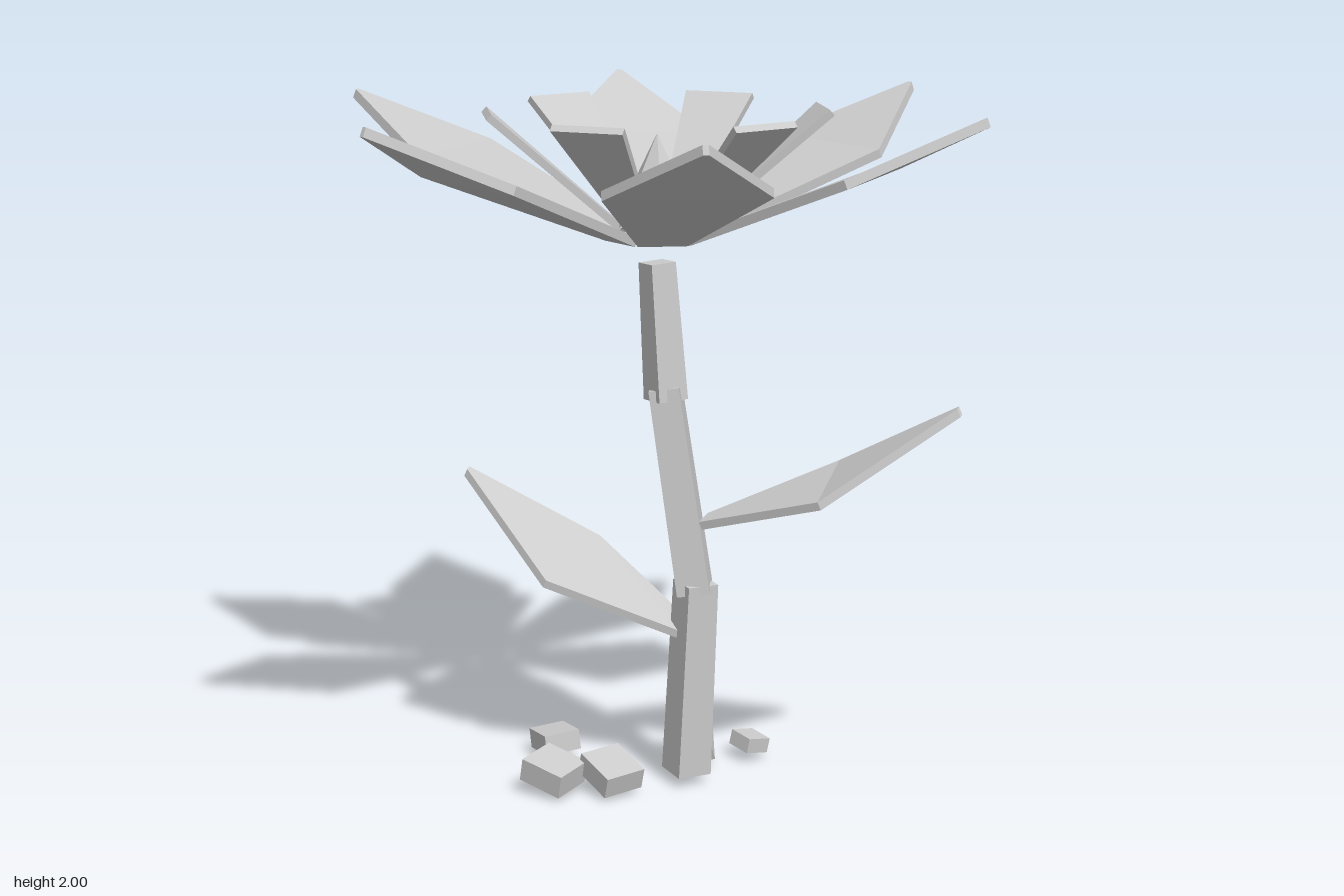
import * as THREE from 'three';

const grey = new THREE.MeshStandardMaterial({ color: 0xcccccc });
grey.name = 'lightGrey';

function addMesh(parent, geometry, name) {
  const flat = geometry.index ? geometry.toNonIndexed() : geometry;
  flat.computeVertexNormals();
  const mesh = new THREE.Mesh(flat, grey);
  mesh.name = name;
  parent.add(mesh);
  return mesh;
}

// Folded plate: stations run outward, each a [left, right] pair on the top face;
// drop is the offset from the top face to the underside.
function plate(stations, drop) {
  const pos = [];
  const low = (p) => p.map((v, i) => v + drop[i]);
  const quad = (a, b, c, d) => pos.push(...a, ...b, ...c, ...a, ...c, ...d);
  for (let i = 0; i < stations.length - 1; i++) {
    const [l0, r0] = stations[i], [l1, r1] = stations[i + 1];
    quad(l0, r0, r1, l1);
    quad(low(l0), low(l1), low(r1), low(r0));
    quad(l0, l1, low(l1), low(l0));
    quad(r1, r0, low(r0), low(r1));
  }
  const [ls, rs] = stations[0], [le, re] = stations[stations.length - 1];
  quad(rs, ls, low(ls), low(rs));
  quad(le, re, low(re), low(le));
  const g = new THREE.BufferGeometry();
  g.setAttribute('position', new THREE.Float32BufferAttribute(pos, 3));
  return g;
}

// Symmetric petal along +x from [radius, height, halfWidth] rows
const petal = (rows, drop) =>
  plate(rows.map(([r, y, w]) => [[r, y, -w], [r, y, w]]), drop);

// Four-sided tapered stem piece from a to b
function stemPiece(parent, a, b, rBottom, rTop, spin, name) {
  const from = new THREE.Vector3(...a), to = new THREE.Vector3(...b);
  const dir = to.clone().sub(from);
  const g = new THREE.CylinderGeometry(rTop, rBottom, dir.length(), 4).rotateY(spin);
  const mesh = addMesh(parent, g, name);
  mesh.position.copy(from).add(to).multiplyScalar(0.5);
  mesh.quaternion.setFromUnitVectors(new THREE.Vector3(0, 1, 0), dir.normalize());
}

export function createModel() {
  const model = new THREE.Group();
  model.name = 'flower';

  // Blossom: six wide outer petals and six narrow inner ones
  const blossom = new THREE.Group();
  blossom.name = 'blossom';
  model.add(blossom);
  const outer = petal([[0.12, 1.64, 0.07], [0.63, 1.845, 0.225], [0.95, 2.0, 0.008]], [0.01, -0.025, 0]);
  const inner = petal([[0.1, 1.66, 0.034], [0.47, 1.985, 0.105]], [0.014, -0.016, 0]);
  for (let i = 0; i < 6; i++) {
    addMesh(blossom, outer, 'outerPetal').rotation.y = i * Math.PI / 3;
    addMesh(blossom, inner, 'innerPetal').rotation.y = (i + 0.5) * Math.PI / 3;
  }

  // Pointed centre: tall cone above, shallow one below
  const spike = new THREE.CylinderGeometry(0, 0.13, 0.255, 6, 1, true).rotateY(Math.PI / 6);
  const base = new THREE.CylinderGeometry(0.13, 0, 0.065, 6, 1, true).rotateY(Math.PI / 6);
  addMesh(blossom, spike, 'centreSpike').position.y = 1.7875;
  addMesh(blossom, base, 'centreBase').position.y = 1.6275;

  // Crooked stem
  stemPiece(model, [0.085, 0.035, -0.02], [0.117, 0.62, -0.01], 0.075, 0.068, 0.1, 'lowerStem');
  stemPiece(model, [0.115, 0.59, -0.01], [0.025, 1.19, 0], 0.068, 0.062, -0.5, 'middleStem');
  stemPiece(model, [0.025, 1.155, -0.005], [0, 1.55, 0], 0.066, 0.055, 0.12, 'upperStem');

  // Leaves
  addMesh(model, plate([
    [[0.14, 0.82, -0.045], [0.14, 0.81, 0.025]],
    [[0.485, 0.975, -0.2], [0.525, 0.925, 0.1]],
    [[0.87, 1.19, -0.085], [0.87, 1.185, -0.07]],
  ], [0.01, -0.022, 0]), 'leftLeaf');
  addMesh(model, plate([
    [[0.08, 0.475, 0.02], [0.08, 0.49, -0.05]],
    [[-0.31, 0.605, 0.1], [-0.27, 0.67, -0.2]],
    [[-0.655, 0.865, -0.085], [-0.655, 0.87, -0.1]],
  ], [-0.01, -0.022, 0]), 'rightLeaf');

  // Stones: size, position, rotation
  const stones = [
    [[0.13, 0.06, 0.11], [-0.36, 0.06, -0.06], [0.1, -0.75, 0.18]],
    [[0.14, 0.07, 0.13], [-0.235, 0.07, 0.22], [0.1, -0.2, -0.2]],
    [[0.14, 0.065, 0.13], [-0.08, 0.07, 0.155], [0.05, -0.55, -0.28]],
    [[0.13, 0.055, 0.17], [0.03, 0.07, -0.19], [0.35, 0.4, 0.1]],
    [[0.085, 0.045, 0.08], [0.185, 0.055, -0.28], [-0.2, -0.5, -0.2]],
  ];
  for (const [size, position, rotation] of stones) {
    const stone = addMesh(model, new THREE.BoxGeometry(...size), 'stone');
    stone.position.set(...position);
    stone.rotation.set(...rotation);
  }
  return model;
}
